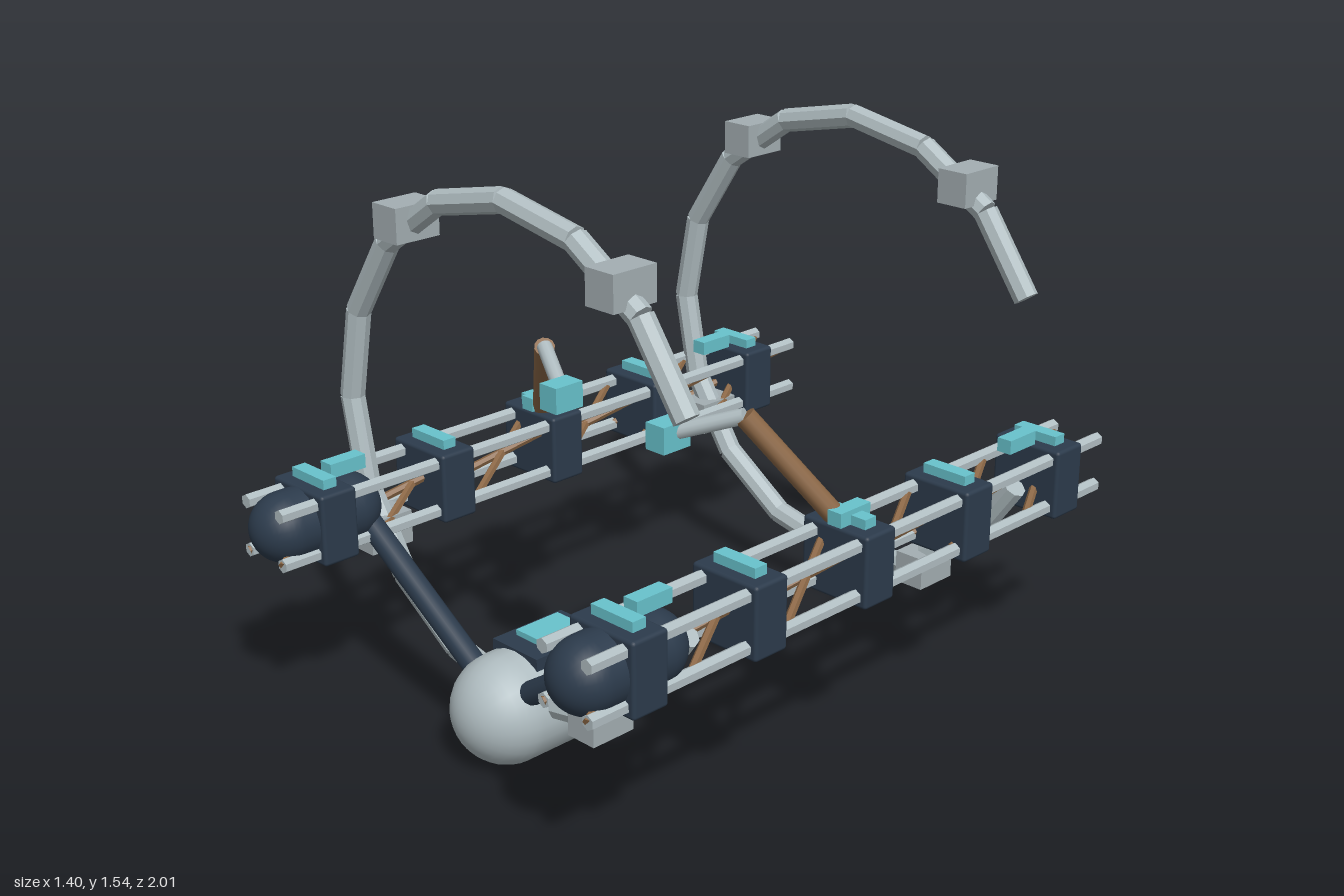
import * as THREE from 'three';
import { RoundedBoxGeometry } from 'three/addons/geometries/RoundedBoxGeometry.js';

const paint = (name, color, flatShading = false) => {
  const m = new THREE.MeshStandardMaterial({ color, flatShading });
  m.name = name;
  return m;
};

export function createModel() {
  const model = new THREE.Group();
  model.name = 'stationFrame';
  const hull = paint('pale hull', 0xb0bdc1);
  const joint = paint('joint grey', 0xa3aeb2);
  const navy = paint('dark navy', 0x2c3b4c);
  const teal = paint('teal', 0x68c2cc);
  const copper = paint('copper brown', 0x8b6746);

  const add = (parent, name, geo, mat, x = 0, y = 0, z = 0) => {
    const mesh = new THREE.Mesh(geo, mat);
    mesh.name = name;
    mesh.position.set(x, y, z);
    parent.add(mesh);
    return mesh;
  };
  const box = (parent, name, mat, size, pos) =>
    add(parent, name, new THREE.BoxGeometry(...size), mat, ...pos);
  // Round bar between two points
  const bar = (parent, name, mat, a, b, r, sides = 12) => {
    const p = new THREE.Vector3(...a), q = new THREE.Vector3(...b);
    const d = q.clone().sub(p);
    let geo = new THREE.CylinderGeometry(r, r, d.length(), sides);
    if (sides <= 8) {
      geo = geo.toNonIndexed();
      geo.computeVertexNormals();
    }
    const mesh = add(parent, name, geo, mat, ...p.clone().add(q).multiplyScalar(0.5).toArray());
    mesh.quaternion.setFromUnitVectors(new THREE.Vector3(0, 1, 0), d.normalize());
    return mesh;
  };
  const capsule = (parent, name, mat, r, length, pos) => {
    const mesh = add(parent, name, new THREE.CapsuleGeometry(r, length - 2 * r, 10, 24), mat, ...pos);
    mesh.rotation.x = Math.PI / 2;
  };

  // Side trusses, struts and arms, mirrored left and right
  const CX = 0.59, CY = 0.562, DX = 0.075, DY = 0.07;
  const back = -1, front = 0.97;
  for (const s of [1, -1]) {
    const side = new THREE.Group();
    side.name = s > 0 ? 'leftTruss' : 'rightTruss';
    model.add(side);
    const x = s * CX;

    // Four long rails
    for (const i of [-1, 1]) for (const j of [-1, 1]) {
      const px = x + i * DX, py = CY + j * DY;
      bar(side, 'rail', hull, [px, py, back], [px, py, front], 0.02, 6);
    }

    // Crossed braces, rising toward the back
    const bays = 6, step = (front - back) / bays;
    for (let k = 0; k < bays; k++) for (const i of [-1, 1]) {
      const z = back + k * step;
      bar(side, 'brace', copper, [x + i * DX, CY - DY, z + step], [x - i * DX, CY + DY, z], 0.012, 6);
    }

    // Bulkheads with top lights
    for (let k = 0; k < 5; k++) {
      const z = -0.823 + k * 0.406;
      add(side, 'bulkhead', new RoundedBoxGeometry(0.218, 0.202, 0.114, 2, 0.01), navy, x, CY, z);
      box(side, 'topLight', teal, [0.14, 0.028, 0.042], [x, 0.676, z]);
    }
    // Lengthwise clamps
    for (const z of [0.705, -0.008, -0.717])
      box(side, 'clamp', teal, [0.045, 0.04, 0.114], [x, 0.684, z]);

    capsule(side, 'nosePod', navy, 0.098, 0.39, [x, CY, 0.805]);
    bar(side, 'podStrut', navy, [x, 0.55, 0.665], [s * 0.1, 0.232, 0.665], 0.033);

    // Jointed arm with a gripper block
    const elbow = [s * 0.38, 0.937, 0.16];
    bar(side, 'upperArm', copper, [s * 0.58, 0.65, 0], elbow, 0.029);
    bar(side, 'forearm', hull, elbow, [s * 0.2, 0.867, 0.255], 0.022);
    box(side, 'gripper', teal, [0.066, 0.074, 0.096], [s * 0.204, 0.867, 0.258]);
  }

  // Open segmented rings
  const R = 0.672, RY = 0.835, segments = 14;
  const start = THREE.MathUtils.degToRad(24), sweep = THREE.MathUtils.degToRad(312);
  for (const z of [0.602, -0.688]) {
    const ring = new THREE.Group();
    ring.name = z > 0 ? 'frontRing' : 'rearRing';
    ring.position.set(0, RY, z);
    model.add(ring);
    const at = (a) => [R * Math.cos(a), R * Math.sin(a), 0];
    for (let k = 0; k < segments; k++)
      bar(ring, 'ringSegment', hull, at(start + sweep * k / segments),
        at(start + sweep * (k + 1) / segments), 0.034, 8);
    for (const [x, y] of [[-0.396, 0.55], [0.4, 0.55], [0.308, -0.607], [-0.573, -0.365]])
      box(ring, 'ringJoint', joint, [0.095, 0.095, 0.138], [x, y, 0]);
  }

  // Central pod with its hatch
  capsule(model, 'centralPod', hull, 0.151, 0.602, [0, 0.153, 0.501]);
  box(model, 'hatchFrame', navy, [0.174, 0.04, 0.24], [0, 0.29, 0.5]);
  box(model, 'hatchWindow', teal, [0.118, 0.024, 0.146], [0, 0.314, 0.49]);

  return model;
}
